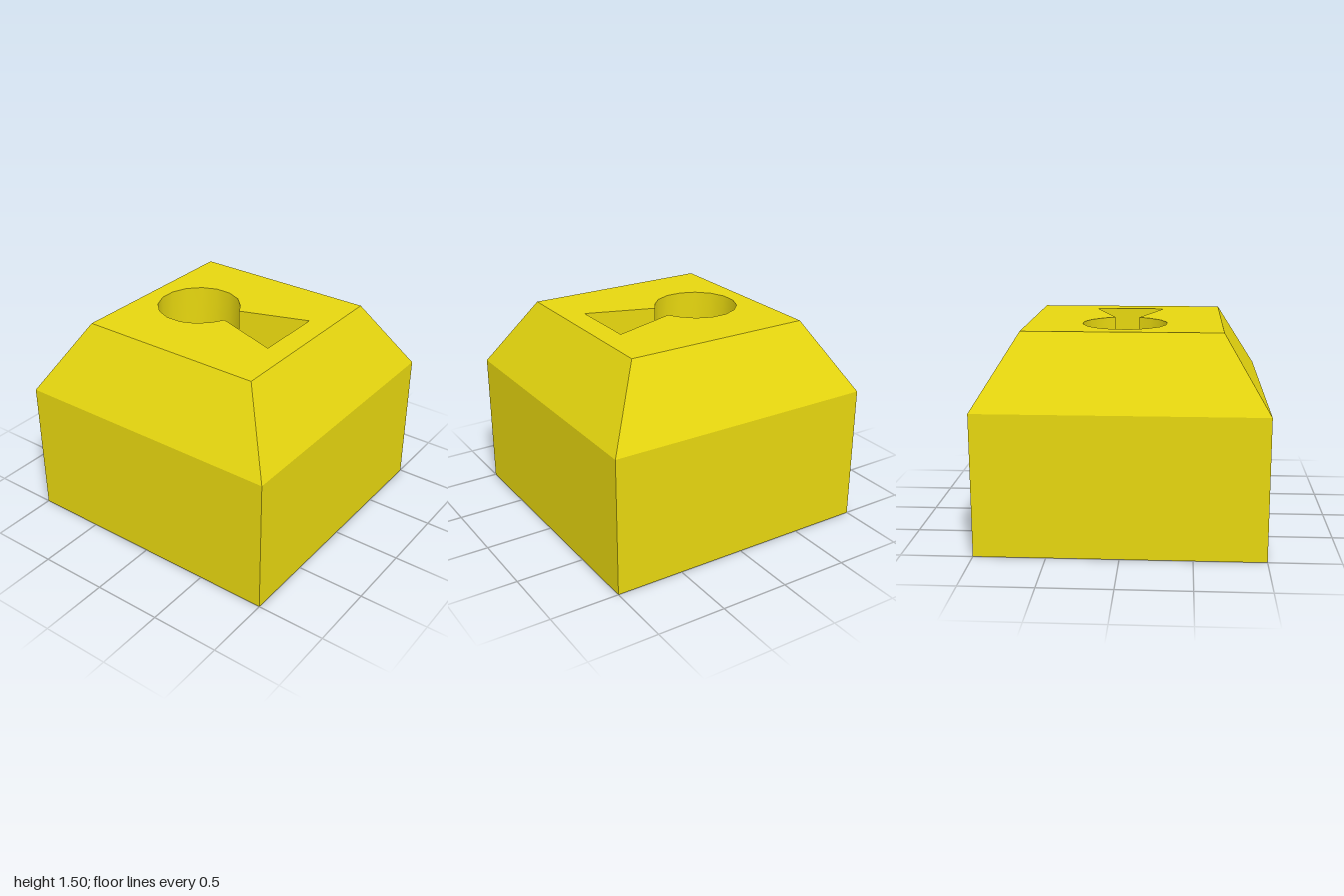
import * as THREE from 'three';
import { toCreasedNormals } from 'three/addons/utils/BufferGeometryUtils.js';

const WALL_TOP = 1, TOP = 1.505, FLOOR = 1, HALF = 1, TOP_HALF = 0.69;

// Keyhole outline, counter-clockwise; shape y runs towards the back (-z)
function keyholePoints() {
  const points = [new THREE.Vector2(0.089, -0.03)];
  for (let i = 0; i < 14; i++) {
    const a = THREE.MathUtils.degToRad(-56.25 + i * 22.5);
    points.push(new THREE.Vector2(Math.cos(a) * 0.302, 0.268 + Math.sin(a) * 0.302));
  }
  points.push(
    new THREE.Vector2(-0.089, -0.03),
    new THREE.Vector2(-0.258, -0.521),
    new THREE.Vector2(0.258, -0.521)
  );
  return points;
}

// Open four-sided band between two square outlines
function squareBand(halfBottom, halfTop, y0, y1) {
  const band = new THREE.CylinderGeometry(
    halfTop * Math.SQRT2, halfBottom * Math.SQRT2, y1 - y0, 4, 1, true
  );
  band.rotateY(Math.PI / 4).translate(0, (y0 + y1) / 2, 0);
  return toCreasedNormals(band, 0.6);
}

// Vertical walls following an outline, facing into the recess
function recessWalls(points, y0, y1) {
  const positions = [];
  points.forEach((p, i) => {
    const q = points[(i + 1) % points.length];
    const a = [p.x, y1, -p.y], b = [q.x, y1, -q.y];
    const c = [q.x, y0, -q.y], d = [p.x, y0, -p.y];
    positions.push(...a, ...b, ...c, ...a, ...c, ...d);
  });
  const geometry = new THREE.BufferGeometry();
  geometry.setAttribute('position', new THREE.Float32BufferAttribute(positions, 3));
  return toCreasedNormals(geometry, 0.6);
}

// Flat horizontal plate from a shape
function plate(shape, y) {
  return new THREE.ShapeGeometry(shape).rotateX(-Math.PI / 2).translate(0, y, 0);
}

export function createModel() {
  const group = new THREE.Group();
  const yellow = new THREE.MeshStandardMaterial({ color: 0xe6d60f, side: THREE.DoubleSide });
  yellow.name = 'yellow';

  const add = (name, geometry) => {
    const mesh = new THREE.Mesh(geometry, yellow);
    mesh.name = name;
    group.add(mesh);
  };

  // Hollow body, open underneath
  add('bodyWalls', squareBand(HALF, HALF, 0, WALL_TOP));
  add('slopedShoulders', squareBand(HALF, TOP_HALF, WALL_TOP, TOP));

  // Top plate with the keyhole cut out
  const keyhole = keyholePoints();
  const t = TOP_HALF;
  const topShape = new THREE.Shape([
    new THREE.Vector2(-t, -t), new THREE.Vector2(t, -t),
    new THREE.Vector2(t, t), new THREE.Vector2(-t, t)
  ]);
  topShape.holes.push(new THREE.Path(keyhole));
  add('topPlate', plate(topShape, TOP));

  // Keyhole recess
  add('keyholeWalls', recessWalls(keyhole, FLOOR, TOP));
  add('keyholeFloor', plate(new THREE.Shape(keyhole), FLOOR));

  return group;
}
